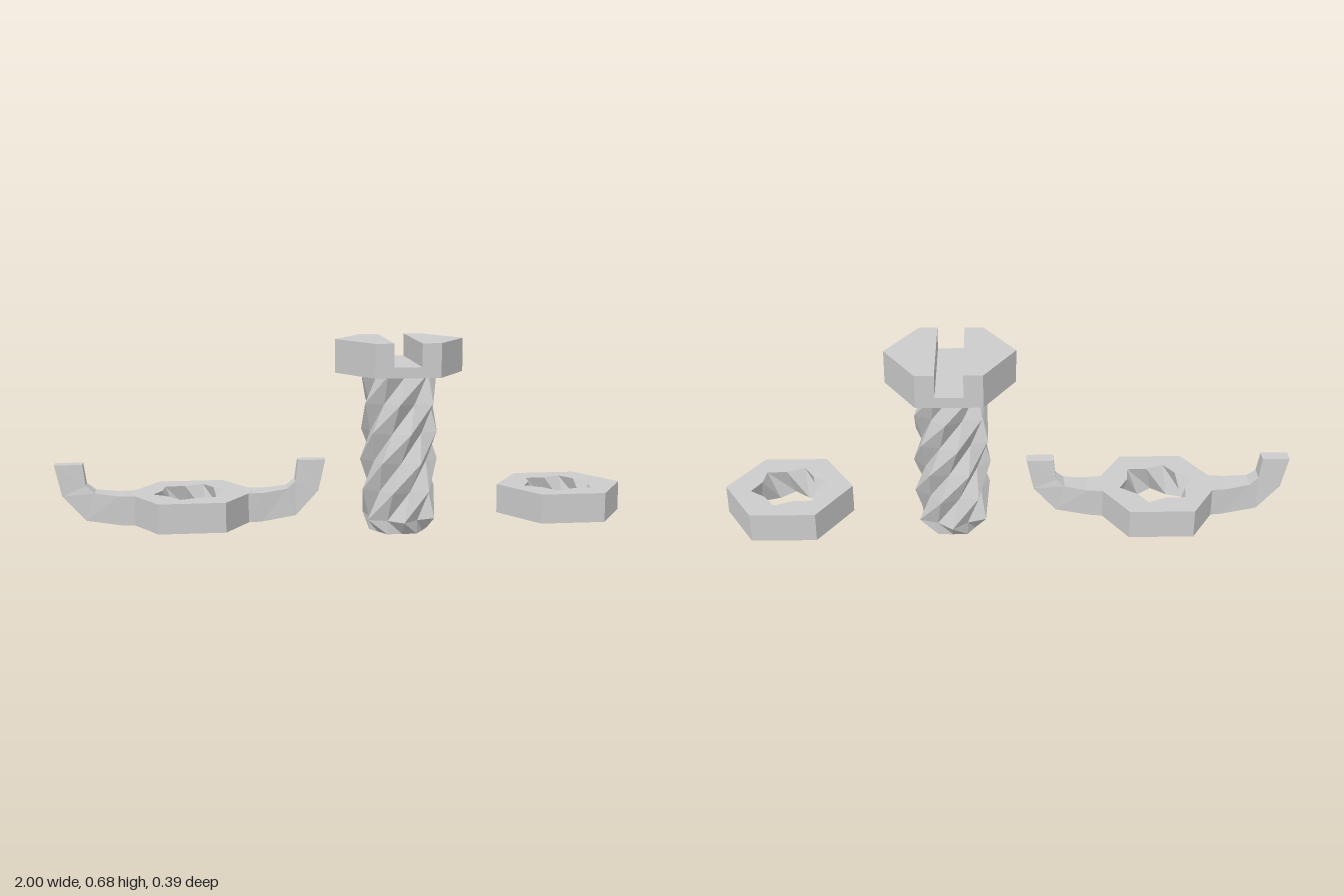
import * as THREE from 'three';

const HEX = 0.225, LOW = 0.048, PITCH = 0.1024, TWIST = 43, PHASE = 30;
const RIDGE = 0.136, VALLEY = 0.105;
const material = new THREE.MeshStandardMaterial({ color: 0xcccccc, flatShading: true });
const twoSided = new THREE.MeshStandardMaterial({ color: 0xcccccc, flatShading: true, side: THREE.DoubleSide });

function add(parent, name, geometry, mat = material) {
  const mesh = new THREE.Mesh(geometry, mat);
  mesh.name = name;
  parent.add(mesh);
  return mesh;
}

// Skin between equal rings of points; optional end caps for convex rings
function loft(rings, capped = false) {
  const n = rings[0].length, index = [];
  for (let j = 0; j < rings.length - 1; j++) {
    for (let i = 0; i < n; i++) {
      const a = j * n + i, b = j * n + (i + 1) % n;
      index.push(a, b, a + n, b, b + n, a + n);
    }
  }
  if (capped) {
    const last = (rings.length - 1) * n;
    for (let i = 1; i < n - 1; i++) {
      index.push(0, i + 1, i, last, last + i, last + i + 1);
    }
  }
  const geo = new THREE.BufferGeometry();
  geo.setAttribute('position', new THREE.Float32BufferAttribute(rings.flat(2), 3));
  geo.setIndex(index);
  const flat = geo.toNonIndexed();
  flat.computeVertexNormals();
  return flat;
}

// Six-start thread outline, alternating ridge and valley
function star(phase, ridge = RIDGE, valley = VALLEY) {
  return Array.from({ length: 12 }, (_, i) => {
    const a = THREE.MathUtils.degToRad(phase + i * 30), r = i % 2 ? valley : ridge;
    return new THREE.Vector2(r * Math.cos(a), r * Math.sin(a));
  });
}
const ringAt = (points, y) => points.map(p => [p.x, y, -p.y]);

function hexShape() {
  return new THREE.Shape(Array.from({ length: 6 }, (_, i) =>
    new THREE.Vector2(HEX * Math.cos(i * Math.PI / 3), HEX * Math.sin(i * Math.PI / 3))));
}

function prism(shape, y, height) {
  return new THREE.ExtrudeGeometry(shape, { depth: height, bevelEnabled: false })
    .rotateX(-Math.PI / 2).translate(0, y, 0);
}

// Hexagonal nut with a twisted bore
function makeNut(name, x) {
  const nut = new THREE.Group();
  nut.name = name;
  nut.position.x = x;
  const top = LOW + PITCH;
  add(nut, 'nutSides', new THREE.CylinderGeometry(HEX, HEX, PITCH, 6, 1, true, Math.PI / 2)
    .translate(0, LOW + PITCH / 2, 0));
  const levels = [[LOW, PHASE, 'nutBottom'], [top, PHASE + TWIST, 'nutTop']];
  for (const [y, phase, label] of levels) {
    const face = hexShape();
    face.holes.push(new THREE.Path(star(phase)));
    add(nut, label, new THREE.ShapeGeometry(face).rotateX(-Math.PI / 2).translate(0, y, 0), twoSided);
  }
  add(nut, 'threadedBore', loft(levels.map(([y, phase]) => ringAt(star(phase), y))), twoSided);
  return nut;
}

// Upturned tapering wing, swept through rectangular sections
function wingGeometry() {
  // [outer x, outer y, inner x, inner y, half thickness]
  const sections = [
    [0.19, LOW, 0.19, 0.15, 0.053],
    [0.24, LOW, 0.25, 0.15, 0.046],
    [0.36, 0.065, 0.33, 0.16, 0.035],
    [0.44, 0.15, 0.36, 0.185, 0.028],
    [0.465, 0.258, 0.37, 0.258, 0.023],
  ];
  return loft(sections.map(([ox, oy, ix, iy, t]) =>
    [[ox, oy, t], [ox, oy, -t], [ix, iy, -t], [ix, iy, t]]), true);
}

function makeBolt(x) {
  const bolt = new THREE.Group();
  bolt.name = 'bolt';
  bolt.position.x = x;

  // Twisted shank with chamfered tip
  const tip = star(PHASE, 0.092, VALLEY - 0.001);
  const rings = [ringAt(tip, 0)];
  for (let i = 0; i <= 5; i++) rings.push(ringAt(star(PHASE + i * TWIST), LOW + i * PITCH));
  add(bolt, 'threadedShank', loft(rings));
  add(bolt, 'shankTip', new THREE.ShapeGeometry(new THREE.Shape(tip)).rotateX(-Math.PI / 2), twoSided);

  // Hexagonal head with a slot running front to back
  const headY = 0.56, slotY = 0.597, headTop = 0.677, slot = 0.0475, flat = HEX * Math.sqrt(3) / 2;
  add(bolt, 'headBase', prism(hexShape(), headY, slotY - headY));
  for (const side of [1, -1]) {
    const half = new THREE.Shape([[slot, -flat], [HEX / 2, -flat], [HEX, 0], [HEX / 2, flat], [slot, flat]]
      .map(([px, py]) => new THREE.Vector2(side * px, py)));
    add(bolt, side > 0 ? 'headHalfLeft' : 'headHalfRight', prism(half, slotY, headTop - slotY));
  }
  return bolt;
}

export function createModel() {
  const model = new THREE.Group();
  model.name = 'boltAndNuts';
  model.add(makeBolt(0.1925));
  model.add(makeNut('hexNut', 0.775));

  const wingNut = makeNut('wingNut', -0.535);
  const wing = wingGeometry();
  add(wingNut, 'wingLeft', wing);
  add(wingNut, 'wingRight', wing).rotation.y = Math.PI;
  model.add(wingNut);
  return model;
}
